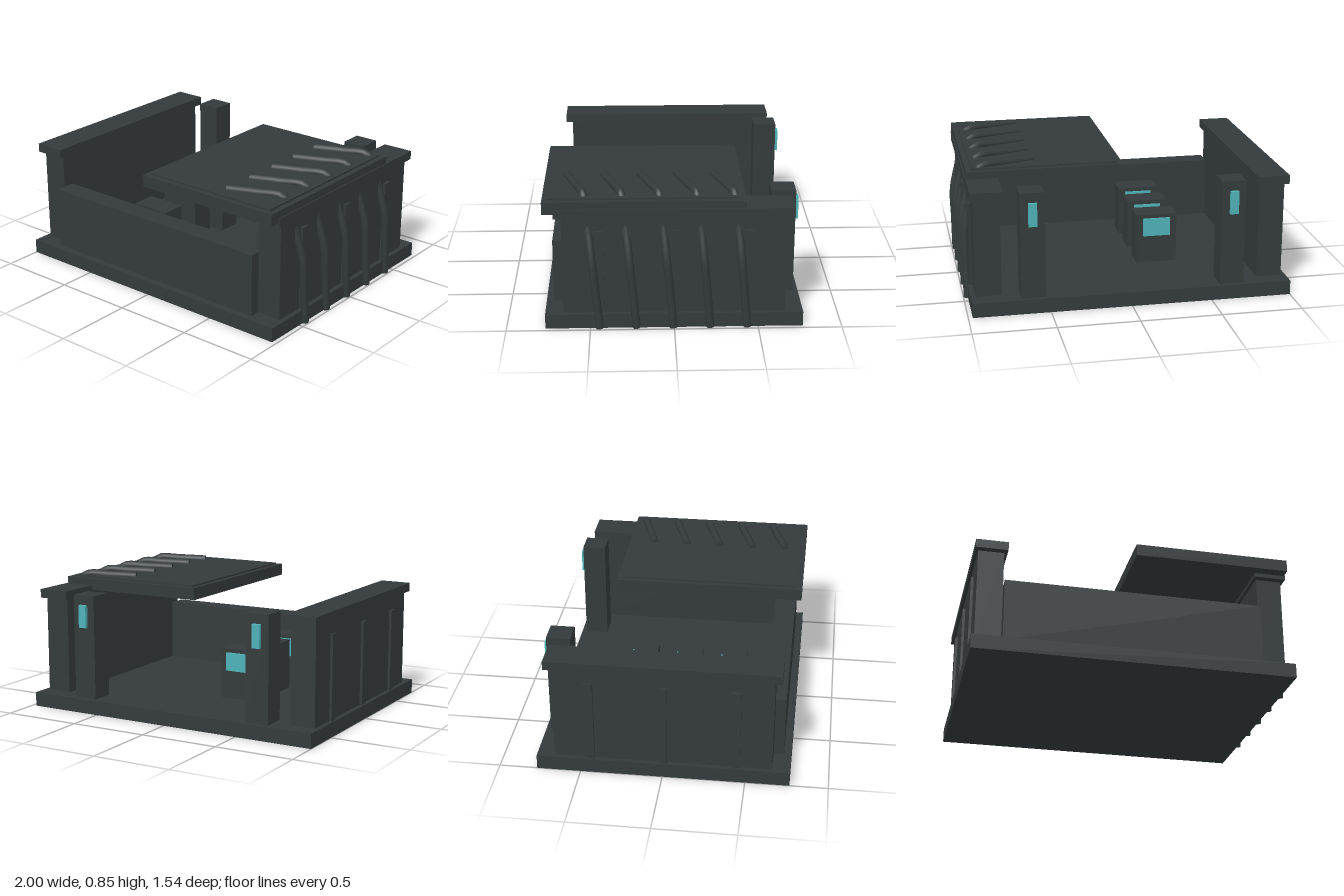
import * as THREE from 'three';

export function createModel() {
  const model = new THREE.Group();
  model.name = 'openShelter';

  const darkMetal = new THREE.MeshStandardMaterial({ color: 0x343a3b });
  darkMetal.name = 'dark metal';
  const tealGlow = new THREE.MeshStandardMaterial({ color: 0x4fb3b8 });
  tealGlow.name = 'teal light';

  // Box given by its min and max corners
  const box = (name, [x0, x1], [y0, y1], [z0, z1], material = darkMetal) => {
    const mesh = new THREE.Mesh(new THREE.BoxGeometry(x1 - x0, y1 - y0, z1 - z0), material);
    mesh.position.set((x0 + x1) / 2, (y0 + y1) / 2, (z0 + z1) / 2);
    mesh.name = name;
    model.add(mesh);
    return mesh;
  };

  // Floor slab and low front wall
  box('base', [-1, 0.973], [0, 0.09], [-0.768, 0.768]);
  box('frontWall', [-0.81, 0.785], [0.09, 0.485], [0.59, 0.723]);

  // Side walls with caps and three raised strips, mirrored about the slab centre
  const centre = -0.0135;
  for (const side of [-1, 1]) {
    const span = (a, b) => [centre + side * a, centre + side * b].sort((p, q) => p - q);
    box('sideWall', span(0.798, 0.957), [0.09, 0.7], [-0.66, 0.66]);
    box('sideWallCap', span(0.778, 0.976), [0.7, 0.755], [-0.702, 0.702]);
    for (const z of [-0.44, 0, 0.44]) {
      box('wallStrip', span(0.957, 0.974), [0.09, 0.617], [z - 0.027, z + 0.027]);
    }
  }

  // Rear posts with lights
  for (const x of [-0.63, 0.6]) {
    box('rearPost', [x - 0.075, x + 0.075], [0.09, 0.75], [-0.738, -0.59]);
    box('postLight', [x - 0.026, x + 0.026], [0.547, 0.69], [-0.76, -0.738], tealGlow);
  }

  // Consoles with screens facing the back
  for (const z of [-0.28, 0.005, 0.29]) {
    box('console', [-0.387, -0.127], [0.09, 0.41], [z, z + 0.153]);
    box('consoleScreen', [-0.342, -0.17], [0.27, 0.385], [z - 0.014, z], tealGlow);
  }

  // Partial roof with a thin top panel
  box('roof', [-0.012, 0.955], [0.725, 0.8], [-0.418, 0.768]);
  box('roofPanel', [0.02, 0.92], [0.8, 0.811], [-0.387, 0.735]);

  // Cables climbing the right wall and bending over the roof
  const path = [
    [0.975, 0.002, 0], [0.975, 0.22, 0.019], [0.974, 0.42, 0.038], [0.925, 0.625, 0.06],
    [0.9, 0.74, 0.073], [0.86, 0.812, 0.085], [0.7, 0.817, 0.137], [0.532, 0.813, 0.192],
  ];
  for (let i = 0; i < 5; i++) {
    const z = 0.445 - i * 0.22;
    const curve = new THREE.CatmullRomCurve3(path.map(p => new THREE.Vector3(p[0], p[1], p[2] + z)));
    const cable = new THREE.Group();
    cable.name = 'cable';
    const tube = new THREE.Mesh(new THREE.TubeGeometry(curve, 40, 0.024, 8), darkMetal);
    tube.name = 'cableTube';
    cable.add(tube);
    // Flat ends
    for (const t of [0, 1]) {
      const end = new THREE.Mesh(new THREE.CircleGeometry(0.024, 8), darkMetal);
      const point = curve.getPointAt(t);
      end.position.copy(point);
      end.lookAt(point.clone().addScaledVector(curve.getTangentAt(t), t ? 1 : -1));
      end.name = 'cableEnd';
      cable.add(end);
    }
    model.add(cable);
  }

  return model;
}
